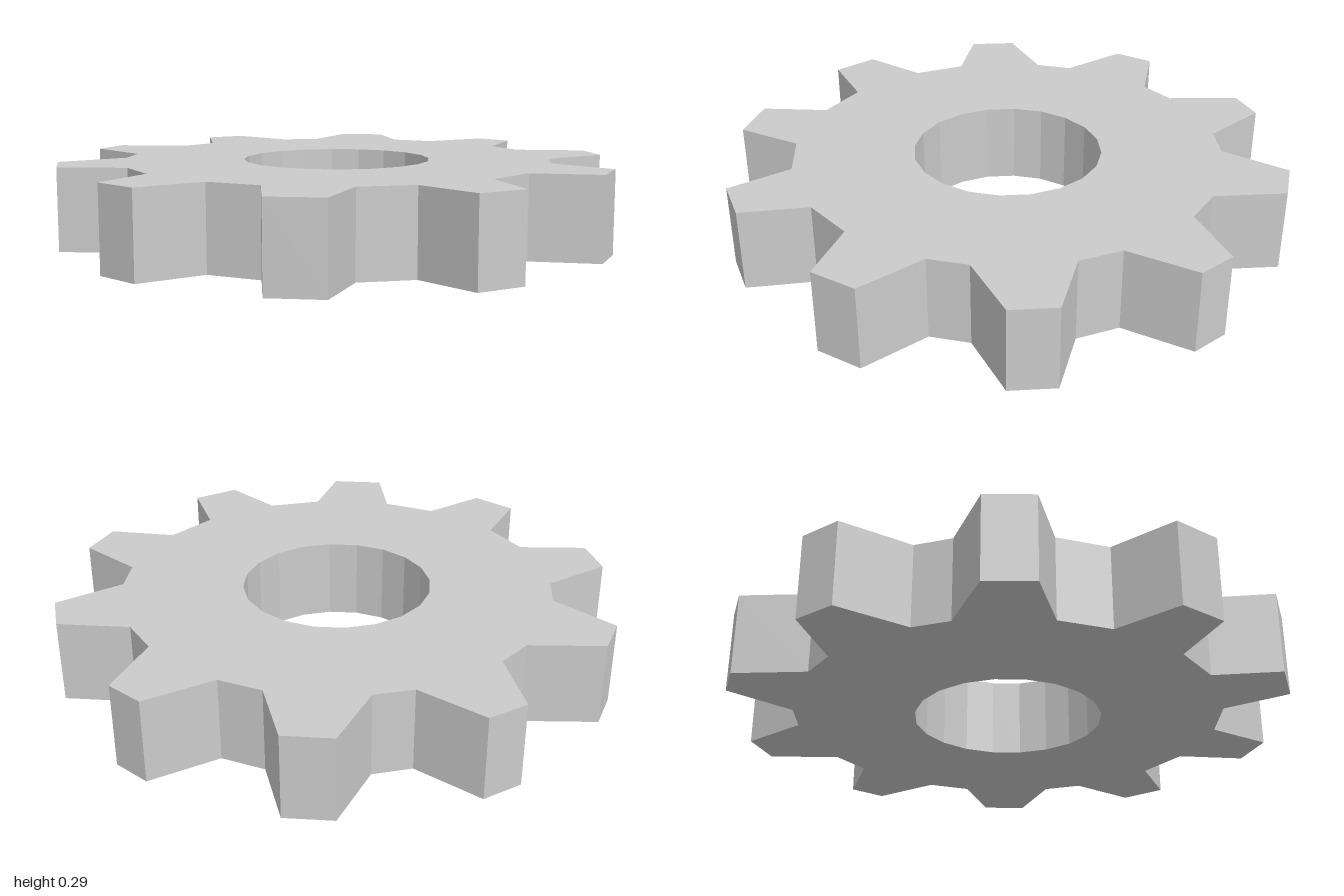
import * as THREE from 'three';

const HEIGHT = 0.295, TIP = 0.999, ROOT = 0.771, BORE = 0.338;
const CX = -0.003, CY = 0.004;

// Each tooth, clockwise: root, tip, tip, root (angles in degrees; spacing is slightly uneven)
const TEETH = [
  [94.4, 86.6, 78.5, 70.4],
  [58.8, 51.4, 42.2, 33.9],
  [23.4, 15.6, 5.8, 0],
  [-15, -20.6, -30.7, -36.3],
  [-50.8, -56.5, -67.4, -72.5],
  [-87, -92.9, -102.8, -109],
  [-123, -129, -138.7, -147],
  [-157, -165.6, -174.3, -183],
  [-193.4, -201.6, -210, -218.4],
  [-228.7, -236.8, -246.4, -253.9],
];

const polar = (radius, degrees) => {
  const a = THREE.MathUtils.degToRad(degrees);
  return new THREE.Vector2(CX + radius * Math.cos(a), CY + radius * Math.sin(a));
};

export function createModel() {
  const group = new THREE.Group();
  group.name = 'gear';

  // Toothed outline
  const outline = TEETH.flatMap((tooth) =>
    tooth.map((deg, i) => polar(i === 1 || i === 2 ? TIP : ROOT, deg)));
  const shape = new THREE.Shape(outline);

  // Twenty-sided bore
  const bore = Array.from({ length: 20 }, (_, i) => polar(BORE, 2 + i * 18));
  shape.holes.push(new THREE.Path(bore));

  // Extrude upward from the ground
  const geometry = new THREE.ExtrudeGeometry(shape, { depth: HEIGHT, bevelEnabled: false });
  geometry.rotateX(-Math.PI / 2);

  const material = new THREE.MeshStandardMaterial({ color: 0xcccccc, flatShading: true });
  const wheel = new THREE.Mesh(geometry, material);
  wheel.name = 'toothedWheel';
  group.add(wheel);
  return group;
}
